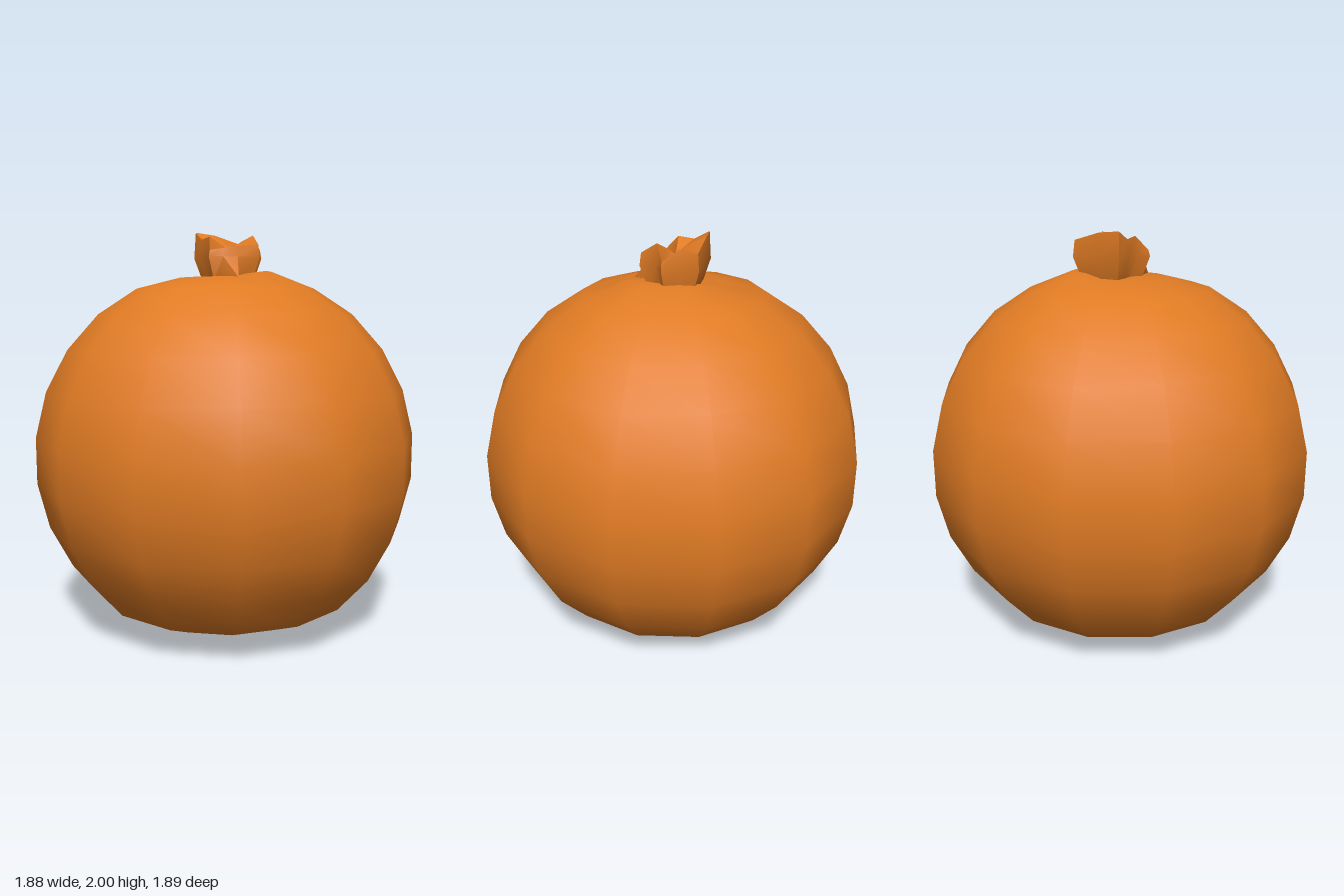
import * as THREE from 'three';
import { mergeVertices, toCreasedNormals } from 'three/addons/utils/BufferGeometryUtils.js';

// Round fruit: a 13 x 13 sphere with a flattened base and a dimple under the crown
function fruitGeometry() {
  let geo = new THREE.SphereGeometry(0.961, 13, 13);
  geo.rotateY(Math.PI);
  geo.translate(-0.0135, 0.87, 0);
  geo.deleteAttribute('uv');
  geo.deleteAttribute('normal');
  geo = mergeVertices(geo, 1e-4);
  const p = geo.attributes.position;
  for (let i = 0; i < p.count; i++) {
    const x = p.getX(i);
    const r = Math.hypot(x + 0.0135, p.getZ(i));
    const top = p.getY(i) > 0.87;
    if (r < 0.05) p.setY(i, top ? 1.78 : 0);
    else if (r < 0.3) p.setY(i, top ? (x > 0.1 ? 1.8 : 1.77) : 0.02);
    else if (r < 0.5) p.setY(i, top ? 1.715 : 0.07);
  }
  geo.computeVertexNormals();
  return geo;
}

// Crown: ragged rings joined from the foot, over the rim, down into a hollow
function crownGeometry() {
  // clockwise seen from above, starting at the back left corner
  const rim = [
    [-0.11, 2.0, -0.15], [0, 1.99, -0.16], [0.14, 1.95, -0.16], [0.13, 1.96, -0.07],
    [0.18, 1.91, 0], [0.12, 1.98, 0.04], [0.11, 1.93, 0.12], [0, 1.92, 0.11],
    [-0.07, 1.91, 0.1], [-0.13, 1.9, 0.07], [-0.1, 1.97, 0], [-0.11, 1.96, -0.08],
  ];
  const n = rim.length;
  const centre = [0.02, -0.02];
  const ring = (k, height) => rim.map(([x, y, z]) => [
    centre[0] + (x - centre[0]) * k, height(y), centre[1] + (z - centre[1]) * k]);
  const foot = ring(0.8, () => 1.755);
  foot[8] = [-0.04, 1.765, 0.21]; // pulled-out tip at the front
  const belly = ring(1.05, () => 1.87);
  const inner = ring(0.5, (y) => y - 0.03);
  const rings = [foot, belly, rim, inner];
  const points = [...rings.flat(), [centre[0], 1.91, centre[1]]];
  const index = [];
  for (let j = 0; j < rings.length - 1; j++) {
    for (let i = 0; i < n; i++) {
      const a = j * n + i, b = j * n + (i + 1) % n;
      index.push(a, a + n, b, b, a + n, b + n);
    }
  }
  const last = (rings.length - 1) * n;
  for (let i = 0; i < n; i++) index.push(last + i, rings.length * n, last + (i + 1) % n);
  const geo = new THREE.BufferGeometry();
  geo.setAttribute('position', new THREE.Float32BufferAttribute(points.flat(), 3));
  geo.setIndex(index);
  geo.computeVertexNormals();
  return toCreasedNormals(geo, 0.9);
}

export function createModel() {
  const orange = new THREE.MeshStandardMaterial({ color: 0xe07b24 });
  orange.name = 'orange skin';
  const model = new THREE.Group();
  model.name = 'fruit';
  const add = (name, geometry) => {
    const mesh = new THREE.Mesh(geometry, orange);
    mesh.name = name;
    model.add(mesh);
  };
  add('body', fruitGeometry());
  add('crown', crownGeometry());
  return model;
}
